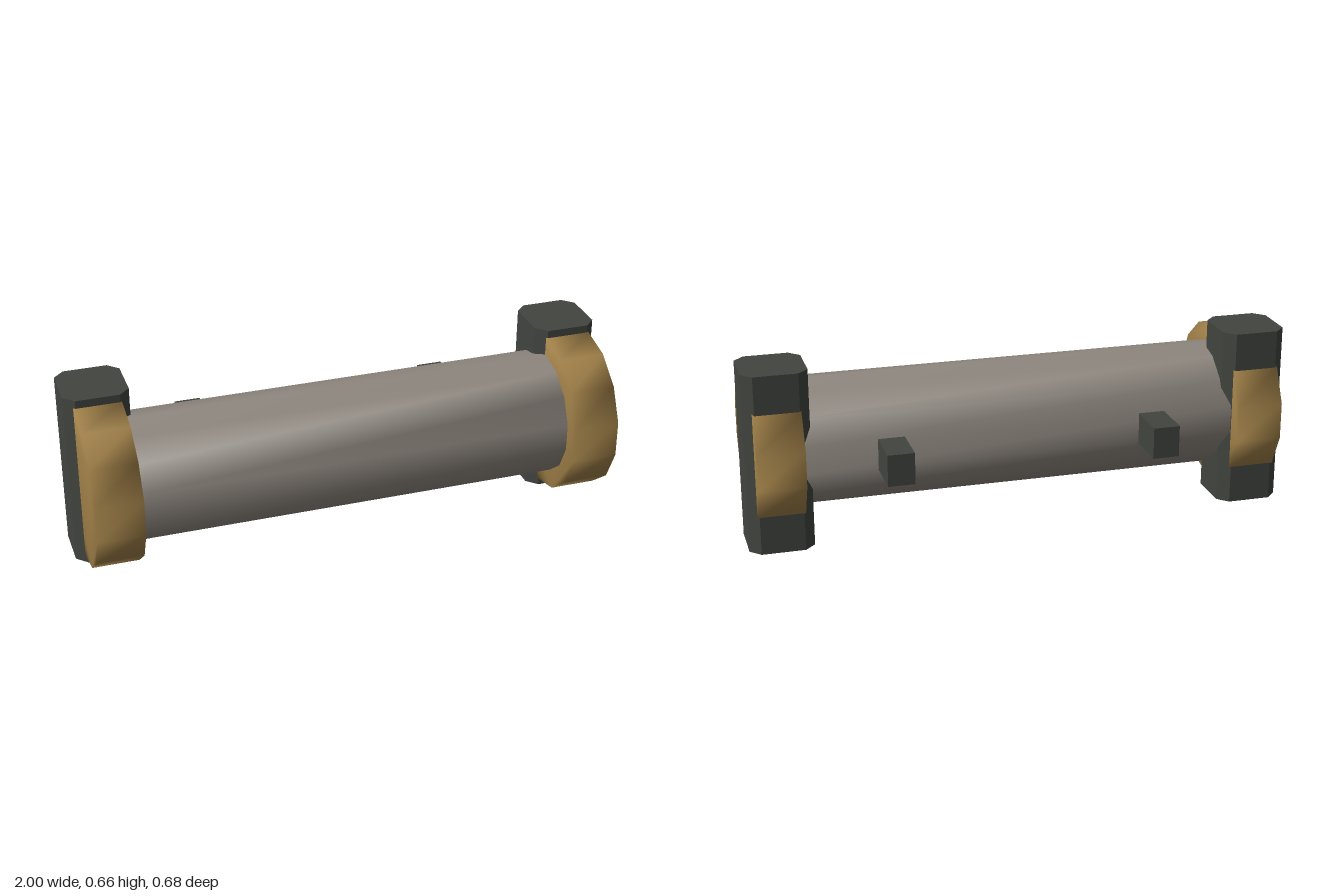
import * as THREE from 'three';
import { mergeVertices } from 'three/addons/utils/BufferGeometryUtils.js';

const SIDES = 14;
const AXIS_Y = 0.331, AXIS_Z = 0.047;

const material = (color) => new THREE.MeshStandardMaterial({ color });

// 14-sided drum lying along x, with normals shared across its rims
function drum(radius, length) {
  const points = [];
  for (let i = 0; i < SIDES; i++) {
    const a = Math.PI / 2 + (i * 2 * Math.PI) / SIDES;
    points.push(new THREE.Vector2(radius * Math.cos(a), radius * Math.sin(a)));
  }
  const raw = new THREE.ExtrudeGeometry(new THREE.Shape(points), { depth: length, bevelEnabled: false });
  raw.translate(0, 0, -length / 2).rotateY(Math.PI / 2);
  raw.deleteAttribute('normal');
  raw.deleteAttribute('uv');
  const geometry = mergeVertices(raw, 1e-4);
  geometry.computeVertexNormals();
  return geometry;
}

// Upright square post with chamfered vertical edges
function chamferedPost(width, height, chamfer) {
  const h = width / 2, c = h - chamfer;
  const outline = [[h, -c], [h, c], [c, h], [-c, h], [-h, c], [-h, -c], [-c, -h], [c, -h]];
  const shape = new THREE.Shape(outline.map(([x, y]) => new THREE.Vector2(x, y)));
  return new THREE.ExtrudeGeometry(shape, { depth: height, bevelEnabled: false }).rotateX(-Math.PI / 2);
}

export function createModel() {
  const model = new THREE.Group();
  const brass = material(0xa08048);
  const steel = material(0x8f8880);
  const iron = material(0x41443f);

  const add = (name, geometry, mat, x, y, z) => {
    const mesh = new THREE.Mesh(geometry, mat);
    mesh.name = name;
    mesh.position.set(x, y, z);
    model.add(mesh);
  };

  // Main tube
  add('tube', drum(0.232, 1.62), steel, 0, AXIS_Y + 0.001, AXIS_Z);

  const collar = drum(0.301, 0.17);
  const post = chamferedPost(0.234, 0.661, 0.038);
  const lug = new THREE.BoxGeometry(0.097, 0.116, 0.18);

  // End collars, posts and rear lugs, mirrored left and right
  for (const [side, s] of [['left', 1], ['right', -1]]) {
    add(side + 'Collar', collar, brass, s * 0.884, AXIS_Y, AXIS_Z);
    add(side + 'Post', post, iron, s * 0.883, 0, -0.069);
    add(side + 'Lug', lug, iron, s * 0.485, AXIS_Y, -0.25);
  }
  return model;
}
